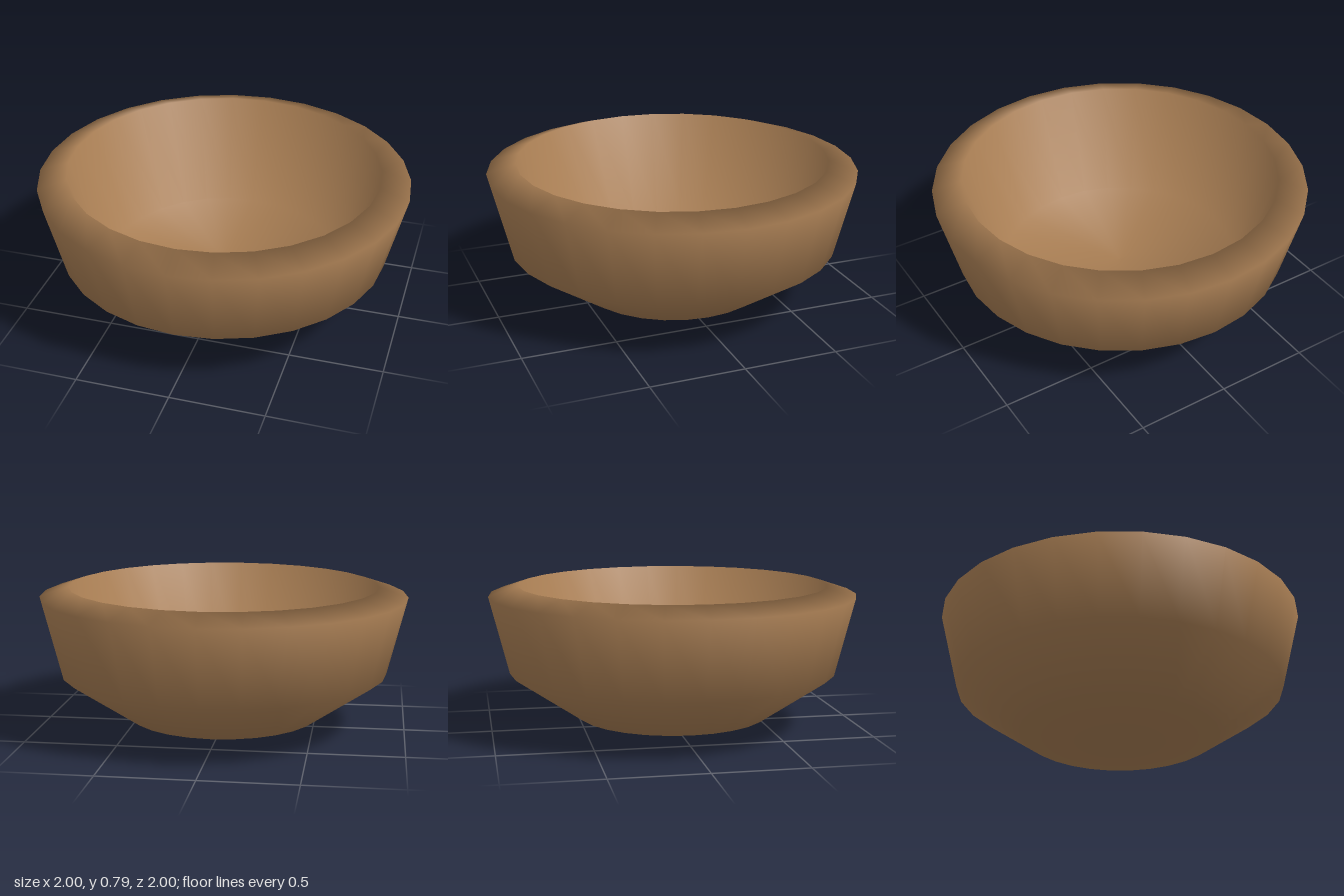
import * as THREE from 'three';

export function createModel() {
  const group = new THREE.Group();
  group.name = 'bowl';

  const clay = new THREE.MeshStandardMaterial({ color: 0xa67c52 });
  clay.name = 'brown clay';

  // Closed profile: up the outside, over the rim, down the inside
  const profile = [
    [0, 0], [0.526, 0.063], [0.895, 0.316], [1, 0.737],
    [0.842, 0.789],
    [0.65, 0.21], [0, 0.18],
  ].map(([r, y]) => new THREE.Vector2(r, y));

  // Smooth-shaded shell with 28 sides
  const shell = new THREE.Mesh(new THREE.LatheGeometry(profile, 28), clay);
  shell.name = 'bowlShell';
  group.add(shell);

  return group;
}
